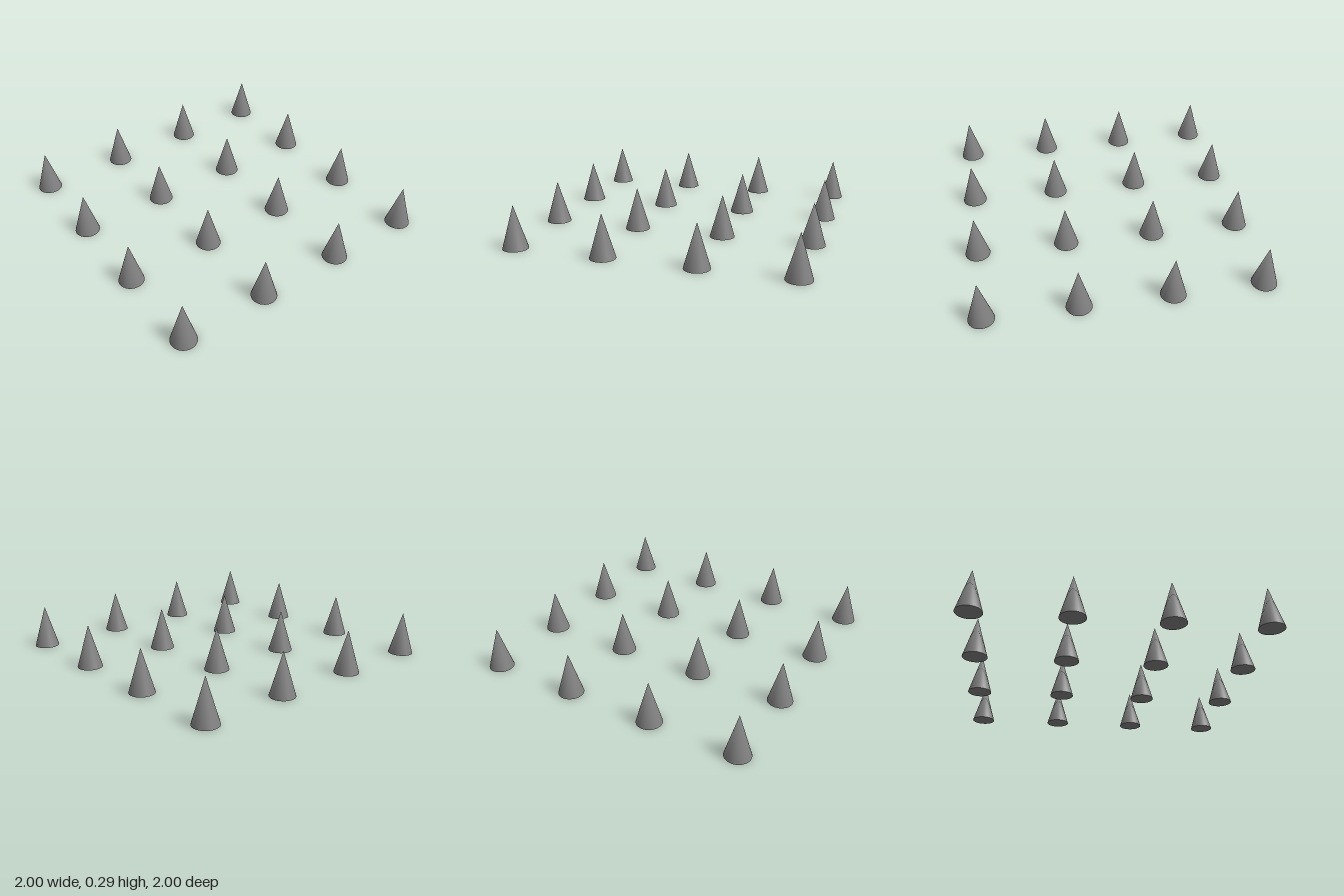
import * as THREE from 'three';
import { mergeVertices } from 'three/addons/utils/BufferGeometryUtils.js';

const RADIUS = 0.085;
const HEIGHT = 0.29;
const SPACING = 0.61;
const COUNT = 4;
const SIDES = 32;

// Open cone whose tip is one shared vertex, so shading runs smoothly over it
function spikeGeometry() {
  const cone = new THREE.ConeGeometry(RADIUS, HEIGHT, SIDES, 1, true);
  cone.translate(0, HEIGHT / 2, 0);
  cone.deleteAttribute('normal');
  cone.deleteAttribute('uv');
  const merged = mergeVertices(cone, 1e-5);
  merged.computeVertexNormals();
  return merged;
}

export function createModel() {
  const model = new THREE.Group();
  model.name = 'spikeGrid';
  const grey = new THREE.MeshStandardMaterial({ color: 0x808080 });
  grey.name = 'grey';

  const side = spikeGeometry();
  const base = new THREE.CircleGeometry(RADIUS, SIDES).rotateX(Math.PI / 2);

  // Square grid of spikes
  const at = (i) => (i - (COUNT - 1) / 2) * SPACING;
  for (let row = 0; row < COUNT; row++) {
    for (let col = 0; col < COUNT; col++) {
      const spike = new THREE.Group();
      spike.name = `spike${row + 1}_${col + 1}`;
      const sideMesh = new THREE.Mesh(side, grey);
      sideMesh.name = 'spikeSide';
      const baseMesh = new THREE.Mesh(base, grey);
      baseMesh.name = 'spikeBase';
      spike.add(sideMesh, baseMesh);
      spike.position.set(at(col), 0, at(row));
      model.add(spike);
    }
  }
  return model;
}
